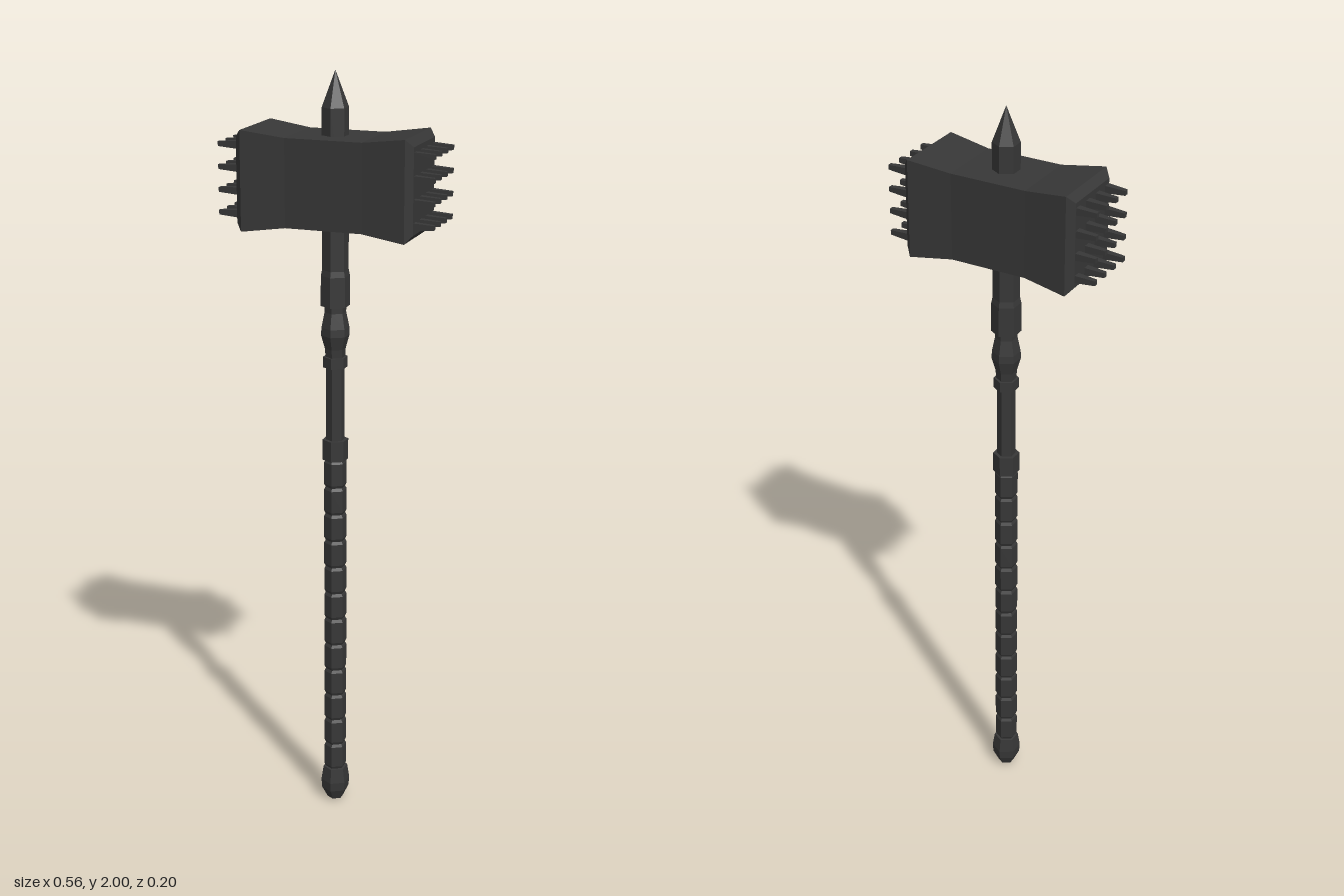
import * as THREE from 'three';

const iron = new THREE.MeshStandardMaterial({ color: 0x373737 });
iron.name = 'darkIron';

// Faceted mesh: unshared corners give each face its own normal
function facetedMesh(name, geometry) {
  const g = geometry.index ? geometry.toNonIndexed() : geometry;
  g.computeVertexNormals();
  const mesh = new THREE.Mesh(g, iron);
  mesh.name = name;
  return mesh;
}

// Six-sided turned part from [radius, y] pairs, bottom to top
function hexTurned(name, profile) {
  const points = profile.map(([r, y]) => new THREE.Vector2(r, y));
  return facetedMesh(name, new THREE.LatheGeometry(points, 6));
}

// Block waisted in the middle, flared and then bevelled at both ends
function hammerHead() {
  const sections = [ // x, half height, half depth
    [-0.23, 0.107, 0.083], [-0.213, 0.126, 0.1], [-0.1, 0.111, 0.088],
    [0.1, 0.111, 0.088], [0.213, 0.126, 0.1], [0.23, 0.107, 0.083],
  ];
  const g = new THREE.BoxGeometry(1, 2, 2, 5, 1, 1);
  const p = g.attributes.position;
  for (let i = 0; i < p.count; i++) {
    const [x, h, d] = sections[Math.round((p.getX(i) + 0.5) * 5)];
    p.setXYZ(i, x, p.getY(i) * h, p.getZ(i) * d);
  }
  return facetedMesh('hammerHead', g);
}

// Blunt square tooth pointing along +x or -x
function tooth(side, y, z) {
  const g = new THREE.CylinderGeometry(0.0085, 0.0135, 0.056, 4);
  g.rotateY(Math.PI / 4);
  g.rotateZ(-side * Math.PI / 2);
  const mesh = facetedMesh(side > 0 ? 'leftTooth' : 'rightTooth', g);
  mesh.position.set(side * 0.253, y, z);
  return mesh;
}

export function createModel() {
  const model = new THREE.Group();
  model.name = 'spikedWarHammer';

  // Handle from the bottom up
  model.add(hexTurned('pommel', [
    [0, 0], [0.022, 0.005], [0.037, 0.035], [0.039, 0.06], [0.033, 0.1], [0, 0.105],
  ]));

  // Grip wrapped in equal bands with shallow grooves between them
  const bands = 12, bottom = 0.1, step = 0.9 / bands;
  const grip = [];
  for (let i = 0; i < bands; i++) {
    const y = bottom + i * step;
    grip.push([0.026, y], [0.03, y + 0.008], [0.03, y + step - 0.008], [0.026, y + step]);
  }
  model.add(hexTurned('grip', grip));
  model.add(hexTurned('gripCollar', [[0, 1], [0.034, 1], [0.034, 1.055], [0, 1.055]]));
  model.add(hexTurned('upperShaft', [[0.024, 1.05], [0.024, 1.26]]));
  model.add(hexTurned('neckRing', [[0, 1.25], [0.032, 1.25], [0.032, 1.278], [0, 1.278]]));
  model.add(hexTurned('neckBulge', [
    [0.025, 1.27], [0.027, 1.3], [0.037, 1.335], [0.036, 1.355], [0.028, 1.395], [0.028, 1.42],
  ]));

  // Socket through the head, ending in a point
  model.add(hexTurned('socket', [
    [0, 1.412], [0.038, 1.412], [0.037, 1.49], [0.034, 1.505], [0.034, 1.65],
  ]));
  model.add(hexTurned('topSpike', [[0.034, 1.65], [0.034, 1.91], [0, 2]]));

  // Head with a grid of teeth on each striking face
  const head = new THREE.Group();
  head.name = 'head';
  head.position.y = 1.731;
  head.add(hammerHead());
  for (const side of [-1, 1])
    for (let row = 0; row < 4; row++)
      for (let col = 0; col < 4; col++)
        head.add(tooth(side, (row - 1.5) * 0.057, (col - 1.5) * 0.048));
  model.add(head);

  return model;
}
